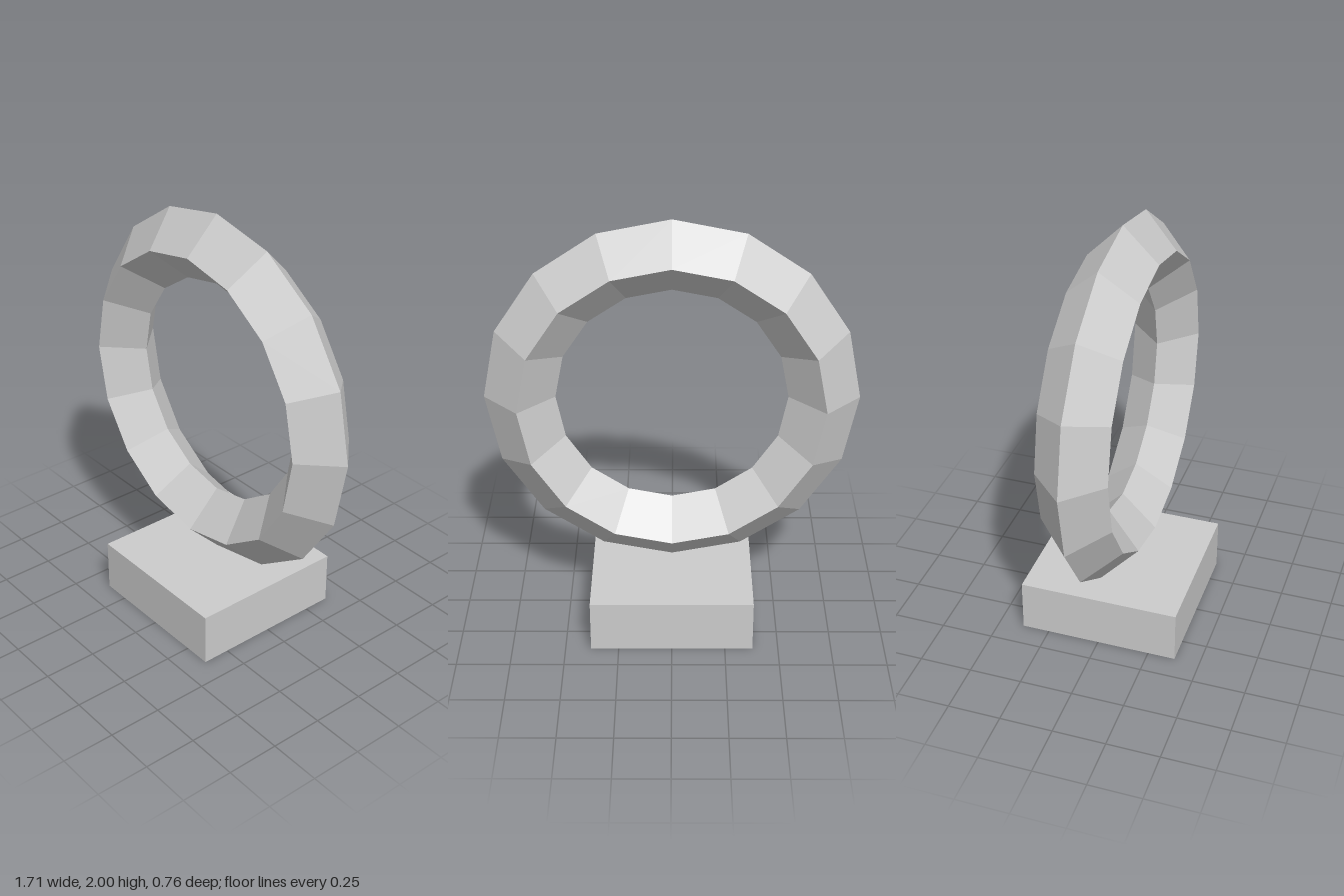
import * as THREE from 'three';

export function createModel() {
  const group = new THREE.Group();
  const lightGrey = new THREE.MeshStandardMaterial({ color: 0xcccccc, flatShading: true });
  lightGrey.name = 'lightGrey';

  const addPart = (name, geometry, y) => {
    const mesh = new THREE.Mesh(geometry, lightGrey);
    mesh.name = name;
    mesh.position.y = y;
    group.add(mesh);
  };

  // Square plinth
  const baseHeight = 0.254;
  addPart('base', new THREE.BoxGeometry(0.76, baseHeight, 0.76), baseHeight / 2);

  // Upright ring with a diamond cross-section, floating just above the plinth
  const ringRadius = 0.694, tubeRadius = 0.163;
  addPart('ring', new THREE.TorusGeometry(ringRadius, tubeRadius, 4, 16), 2 - ringRadius - tubeRadius);

  return group;
}
